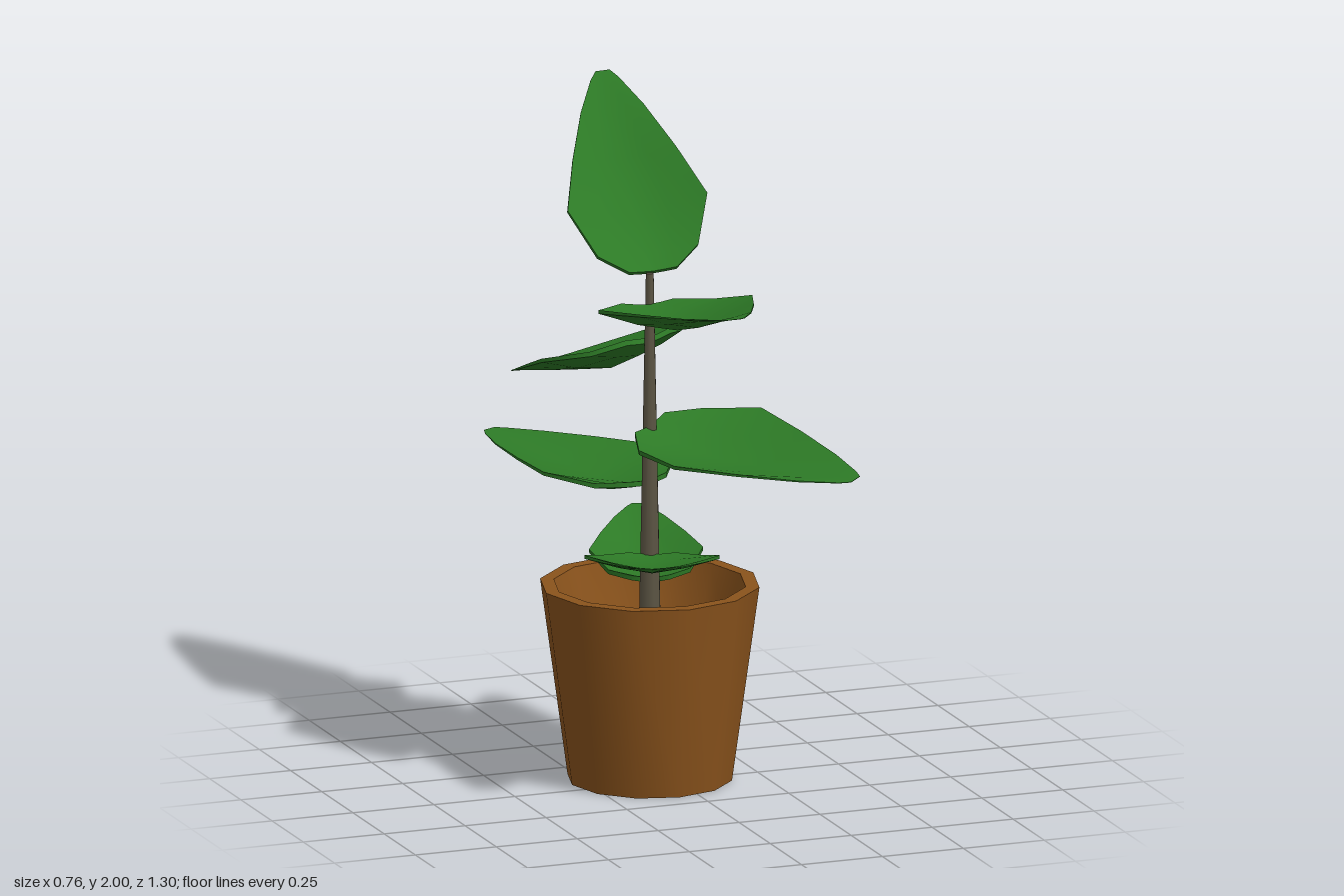
import * as THREE from 'three';
import { toCreasedNormals } from 'three/addons/utils/BufferGeometryUtils.js';

const material = (color) => new THREE.MeshStandardMaterial({ color });
const GREEN = material(0x2d7a26);
const CLAY = material(0x8a531c);
const SOIL = material(0x3d2814);
const BARK = material(0x5c5544);
const CENTRE = [-0.06, -0.06];

// Leaf cross-sections: [along, half width, midrib height, edge height]
const SECTIONS = [
  [0, 0.34, 0, 0.01],
  [0.1, 0.72, -0.03, 0.005],
  [0.33, 1, -0.05, 0.02],
  [0.58, 0.74, -0.035, 0.012],
  [0.81, 0.45, -0.012, 0.004],
  [0.96, 0.2, -0.002, 0],
  [1, 0.1, 0, 0],
];
const ACROSS = [-1, -0.5, 0, 0.5, 1];

// base and tip are points, width is half the blade, roll lifts one edge
function leafGeometry({ base, tip, width, roll = 0, cup = 1 }) {
  const start = new THREE.Vector3(...base);
  const axis = new THREE.Vector3(...tip).sub(start);
  const length = axis.length();
  const dir = axis.clone().normalize();
  const side = new THREE.Vector3(0, 1, 0).cross(dir).normalize().applyAxisAngle(dir, -roll);
  const normal = dir.clone().cross(side);
  const cols = ACROSS.length;
  const layer = SECTIONS.length * cols;
  const positions = [];
  const index = [];

  // upper and lower skins
  for (const under of [0, 1]) {
    for (const [t, w, mid, edge] of SECTIONS) {
      for (const u of ACROSS) {
        const lift = cup * (mid + (edge - mid) * Math.abs(u) ** 1.4);
        const p = start.clone()
          .addScaledVector(dir, t * length)
          .addScaledVector(side, u * w * width)
          .addScaledVector(normal, lift - under * 0.014 * (1.1 - t));
        positions.push(p.x, p.y, p.z);
      }
    }
  }
  for (let i = 0; i < SECTIONS.length - 1; i++) {
    for (let j = 0; j < cols - 1; j++) {
      const a = i * cols + j, b = a + cols, c = b + 1, d = a + 1;
      index.push(a, b, c, a, c, d);
      index.push(a + layer, c + layer, b + layer, a + layer, d + layer, c + layer);
    }
  }

  // rim joining the two skins
  const rim = [];
  const last = SECTIONS.length - 1;
  for (let i = 0; i < last; i++) rim.push(i * cols);
  for (let j = 0; j < cols - 1; j++) rim.push(last * cols + j);
  for (let i = last; i > 0; i--) rim.push(i * cols + cols - 1);
  for (let j = cols - 1; j > 0; j--) rim.push(j);
  rim.forEach((p, k) => {
    const q = rim[(k + 1) % rim.length];
    index.push(p + layer, q + layer, q, p + layer, q, p);
  });

  const geometry = new THREE.BufferGeometry();
  geometry.setAttribute('position', new THREE.Float32BufferAttribute(positions, 3));
  geometry.setIndex(index);
  return toCreasedNormals(geometry, 0.9);
}

export function createModel() {
  const model = new THREE.Group();
  model.name = 'pottedPlant';
  const add = (name, geometry, mat, y = 0) => {
    const mesh = new THREE.Mesh(geometry, mat);
    mesh.name = name;
    mesh.position.set(CENTRE[0], y, CENTRE[1]);
    model.add(mesh);
    return mesh;
  };

  // Twelve-sided hollow pot
  const profile = [[0, 0], [0.24, 0], [0.32, 0.58], [0.28, 0.58], [0.235, 0.42]]
    .map(([x, y]) => new THREE.Vector2(x, y));
  add('pot', toCreasedNormals(new THREE.LatheGeometry(profile, 12), 0.6), CLAY);

  // Soil disc inside the pot
  add('soil', new THREE.CircleGeometry(0.242, 12).rotateX(-Math.PI / 2), SOIL, 0.44);

  // Tapering stem
  add('stem', new THREE.CylinderGeometry(0.012, 0.034, 1.07, 8), BARK, 0.97);

  // Leaves, from the top of the stem downwards
  const leaves = [
    { base: [-0.05, 1.51, -0.06], tip: [-0.04, 2.0, -0.49], width: 0.21, roll: 0.08 },
    { base: [-0.07, 1.415, -0.05], tip: [-0.075, 1.545, 0.645], width: 0.237 },
    { base: [-0.06, 1.31, -0.07], tip: [-0.24, 1.092, -0.645], width: 0.235, roll: 0.06 },
    { base: [-0.06, 1.05, -0.06], tip: [0.36, 0.99, 0.5], width: 0.235, roll: -0.15 },
    { base: [-0.06, 0.885, -0.07], tip: [-0.33, 0.92, -0.645], width: 0.22, cup: 0.8 },
    { base: [-0.06, 0.67, -0.04], tip: [-0.26, 0.775, 0.475], width: 0.195, cup: 0.6 },
    { base: [-0.05, 0.59, -0.08], tip: [0.09, 0.68, -0.55], width: 0.165, cup: 0.8 },
  ];
  const foliage = new THREE.Group();
  foliage.name = 'leaves';
  leaves.forEach((leaf, i) => {
    const mesh = new THREE.Mesh(leafGeometry(leaf), GREEN);
    mesh.name = `leaf${i + 1}`;
    foliage.add(mesh);
  });
  model.add(foliage);
  return model;
}
